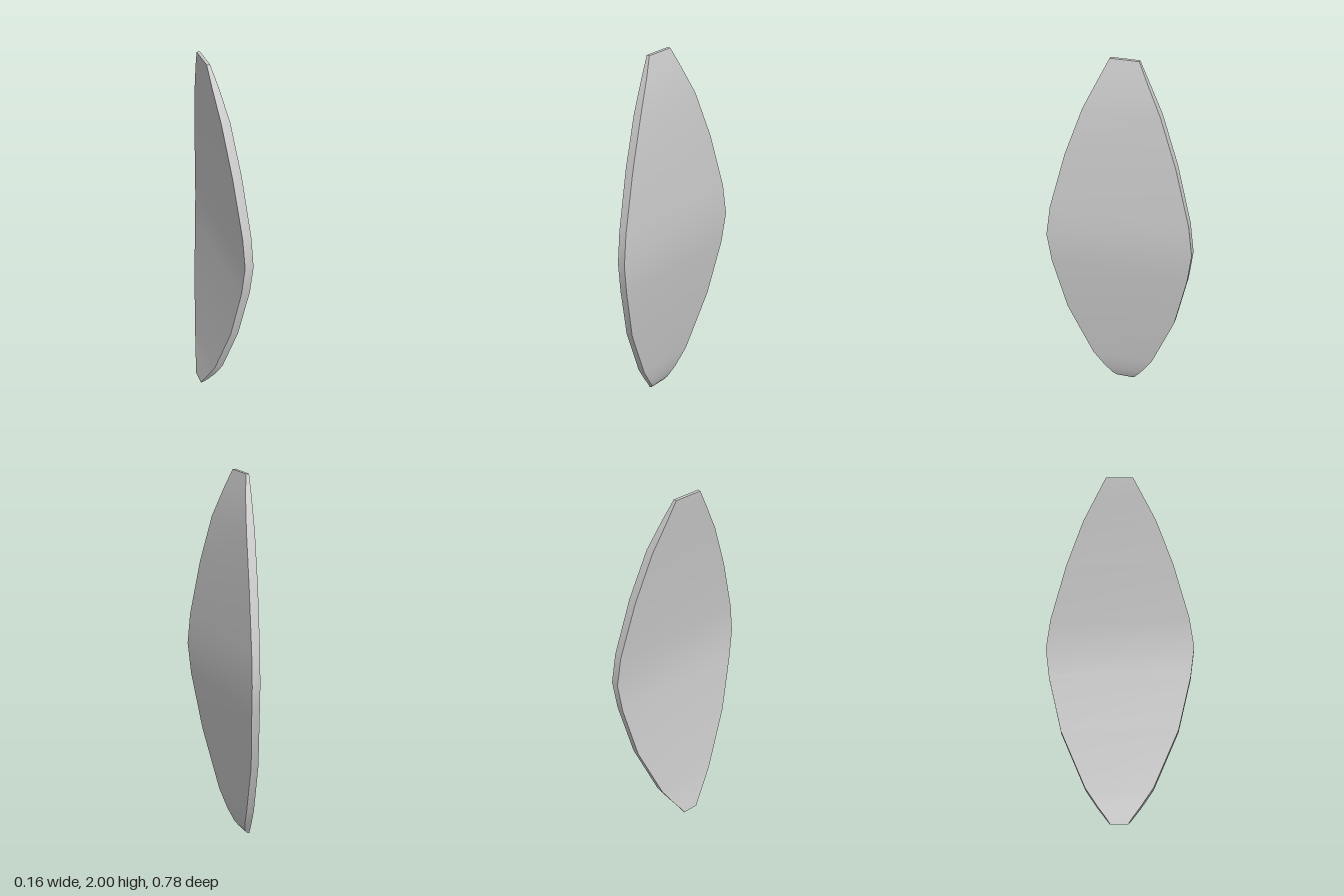
import * as THREE from 'three';

// Cross-sections from bottom to top: height, inner x, outer x, half width in z
const SECTIONS = [
  [0.0, -0.083, -0.082, 0.045],
  [0.012, -0.081, -0.062, 0.05],
  [0.035, -0.077, -0.045, 0.064],
  [0.1, -0.064, -0.022, 0.108],
  [0.2, -0.045, -0.001, 0.17],
  [0.52, -0.003, 0.039, 0.3],
  [0.83, 0.028, 0.073, 0.37],
  [1.0, 0.037, 0.082, 0.392],
  [1.17, 0.029, 0.075, 0.37],
  [1.48, 0.002, 0.05, 0.29],
  [1.74, -0.025, 0.021, 0.2],
  [1.9, -0.045, -0.012, 0.123],
  [2.0, -0.055, -0.038, 0.075],
];

// Corners of a section, counter-clockwise seen from above
const corners = ([y, xi, xo, w]) => [[xo, y, w], [xo, y, -w], [xi, y, -w], [xi, y, w]];

// Smooth strip from rows of two points, each row above the last
function strip(name, rows, material) {
  const geometry = new THREE.BufferGeometry();
  geometry.setAttribute('position', new THREE.Float32BufferAttribute(rows.flat(2), 3));
  const index = [];
  for (let i = 0; i < rows.length - 1; i++) {
    const a = i * 2;
    index.push(a, a + 1, a + 3, a, a + 3, a + 2);
  }
  geometry.setIndex(index);
  geometry.computeVertexNormals();
  const mesh = new THREE.Mesh(geometry, material);
  mesh.name = name;
  return mesh;
}

export function createModel() {
  const group = new THREE.Group();
  group.name = 'curvedPanel';
  const material = new THREE.MeshStandardMaterial({ color: 0xcccccc });
  const rings = SECTIONS.map(corners);

  // Convex face, concave face and the two long rims, with sharp edges between them
  ['outerFace', 'backRim', 'innerFace', 'frontRim'].forEach((name, k) => {
    group.add(strip(name, rings.map((r) => [r[k], r[(k + 1) % 4]]), material));
  });

  // Flat ends
  const top = rings[rings.length - 1];
  const bottom = rings[0];
  group.add(strip('topEnd', [[top[0], top[1]], [top[3], top[2]]], material));
  group.add(strip('bottomEnd', [[bottom[1], bottom[0]], [bottom[2], bottom[3]]], material));
  return group;
}
